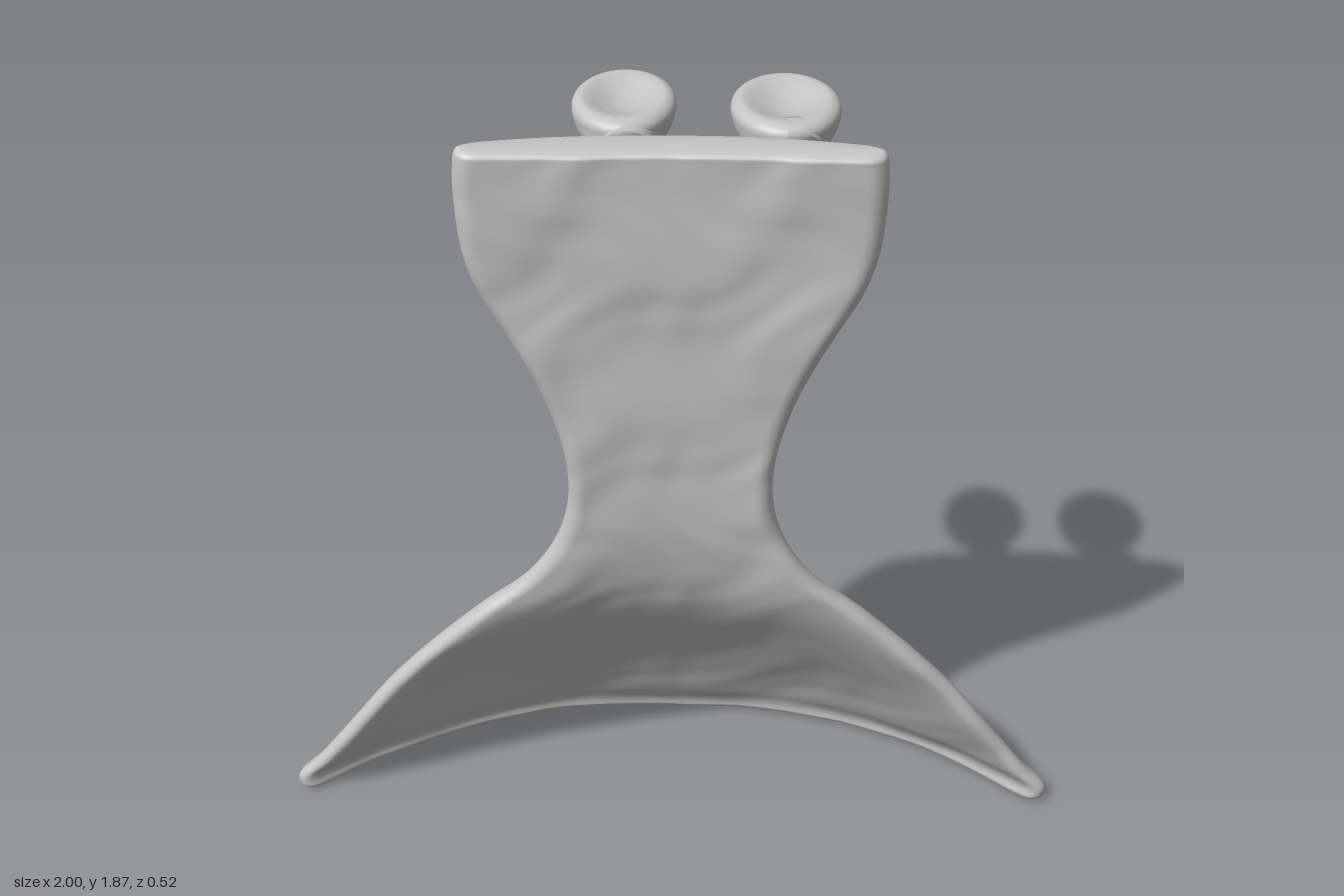
import * as THREE from 'three';

const grey = new THREE.MeshStandardMaterial({ color: 0xc4c4c4 });
grey.name = 'plain grey';

// height, half width, depth of the back surface on the centre line
const PROFILE = [
  [0, 0.988, -0.235], [0.04, 1.0, -0.232], [0.1, 0.945, -0.2], [0.2, 0.866, -0.15], [0.4, 0.705, -0.045],
  [0.6, 0.495, 0.06], [0.7, 0.37, 0.1], [0.8, 0.295, 0.125], [0.9, 0.257, 0.137], [1.0, 0.248, 0.14],
  [1.1, 0.262, 0.138], [1.25, 0.31, 0.132], [1.4, 0.385, 0.124], [1.5, 0.44, 0.119], [1.6, 0.472, 0.115],
  [1.75, 0.485, 0.108], [1.82, 0.482, 0.105], [1.855, 0.477, 0.105],
];
const TOP = 1.855;
const RIM = 0.045;
const { lerp, smoothstep } = THREE.MathUtils;

// small waves on the hammered front
const ripple = (x, y) =>
  0.003 * Math.sin(9 * x + 5 * y + 2 * Math.sin(4 * y)) + 0.003 * Math.sin(17 * y - 11 * x + Math.sin(13 * x))
  + 0.002 * Math.sin(25 * x + 3 * Math.sin(15 * y)) * Math.sin(23 * y + 2 * Math.sin(13 * x));

// minimum of two values with a soft transition
const softMin = (a, b, r) => (a + b - Math.sqrt((a - b) ** 2 + r * r)) / 2;

// Curved shell: closed cross-sections stacked from the flared hem to the top edge
function shellGeometry() {
  const curve = new THREE.CatmullRomCurve3(PROFILE.map((p) => new THREE.Vector3(...p)));
  const rows = 140, ring = 140, pos = [], index = [];
  for (let j = 0; j <= rows; j++) {
    // rows crowd towards both ends so that the edges are rounded
    const s = j / rows;
    const { x: y, y: w, z: back } = curve.getPoint(s - 0.155 * Math.sin(2 * Math.PI * s));
    const gap = Math.max(0, Math.min(y / 0.022, (TOP - y) / 0.02));
    const k = gap >= 1 ? 1 : Math.sqrt(1 - (1 - gap) ** 2);
    const thick = 0.085 + 0.055 * smoothstep(y, 0.4, 1.8) + 0.032 * Math.exp(-(((y - 0.58) / 0.2) ** 2));
    const limit = 0.244 + 0.012 * smoothstep(y, 0.6, 1);
    for (let i = 0; i < ring; i++) {
      const t = (i / ring) * Math.PI * 2, u = Math.cos(t);
      const bow = Math.abs(u) ** 2.4;
      const zb = lerp(back, 0.17, bow);
      const zf = softMin(limit, lerp(back + thick, 0.275, bow), 0.03) + ripple(u * w, y);
      // half-round rim along both sides
      const edge = Math.max(0, 1 - ((1 - Math.abs(u)) * w) / RIM);
      const round = k * Math.sqrt(1 - edge * edge);
      const side = i === 0 || i === ring / 2 ? 0 : Math.sign(Math.sin(t));
      pos.push(u * (w - 0.012 * (1 - k)) + 0.004, y, (zf + zb) / 2 + side * round * (zf - zb) / 2);
      if (j < rows) {
        const a = j * ring + i, b = j * ring + ((i + 1) % ring);
        index.push(a, a + ring, b, b, a + ring, b + ring);
      }
    }
  }
  const g = new THREE.BufferGeometry();
  g.setAttribute('position', new THREE.Float32BufferAttribute(pos, 3));
  g.setIndex(index);
  g.computeVertexNormals();
  return g;
}

// Shallow dished oval, its rounded belly leaning towards the shell
function cupGeometry() {
  const points = [[0, -0.07], [0.04, -0.063], [0.08, -0.042], [0.112, -0.008], [0.125, 0.026], [0.121, 0.047],
    [0.104, 0.058], [0.085, 0.055], [0.055, 0.042], [0.025, 0.032], [0, 0.03]];
  const path = new THREE.SplineCurve(points.map((p) => new THREE.Vector2(...p)));
  const profile = path.getPoints(40).map((p) => new THREE.Vector2(Math.max(0, p.x), p.y));
  const g = new THREE.LatheGeometry(profile, 40).scale(1, 1, 1.4);
  const p = g.attributes.position;
  for (let i = 0; i < p.count; i++) p.setZ(i, p.getZ(i) + 0.55 * Math.max(0, 0.02 - p.getY(i)));
  g.computeVertexNormals();
  return g;
}

export function createModel() {
  const model = new THREE.Group();
  const add = (name, geometry, parent = model) => {
    const m = new THREE.Mesh(geometry, grey);
    m.name = name;
    parent.add(m);
    return m;
  };
  add('flaredShell', shellGeometry());

  const cup = cupGeometry();
  // Short neck, flared where it meets the shell and the cup
  const neck = new THREE.LatheGeometry(
    [[0.075, -0.04], [0.058, -0.02], [0.052, 0], [0.058, 0.025], [0.07, 0.05], [0.06, 0.075], [0, 0.085]]
      .map((p) => new THREE.Vector2(...p)), 24).rotateX(-Math.PI / 2).scale(1, 0.68, 1);
  const hooks = [
    { name: 'rightHook', x: -0.11, z: -0.096, size: 0.98, neckX: 0.012 },
    { name: 'leftHook', x: 0.267, z: -0.08, size: 1.03, neckX: 0.02 },
  ];
  for (const { name, x, z, size, neckX } of hooks) {
    const hook = new THREE.Group();
    hook.name = name;
    hook.position.x = x;
    const c = add('cup', cup, hook);
    c.position.set(0, 1.805, z);
    c.scale.x = size;
    c.rotation.x = 0.03;
    add('neck', neck, hook).position.set(neckX, 1.811, 0.085);
    model.add(hook);
  }
  return model;
}
